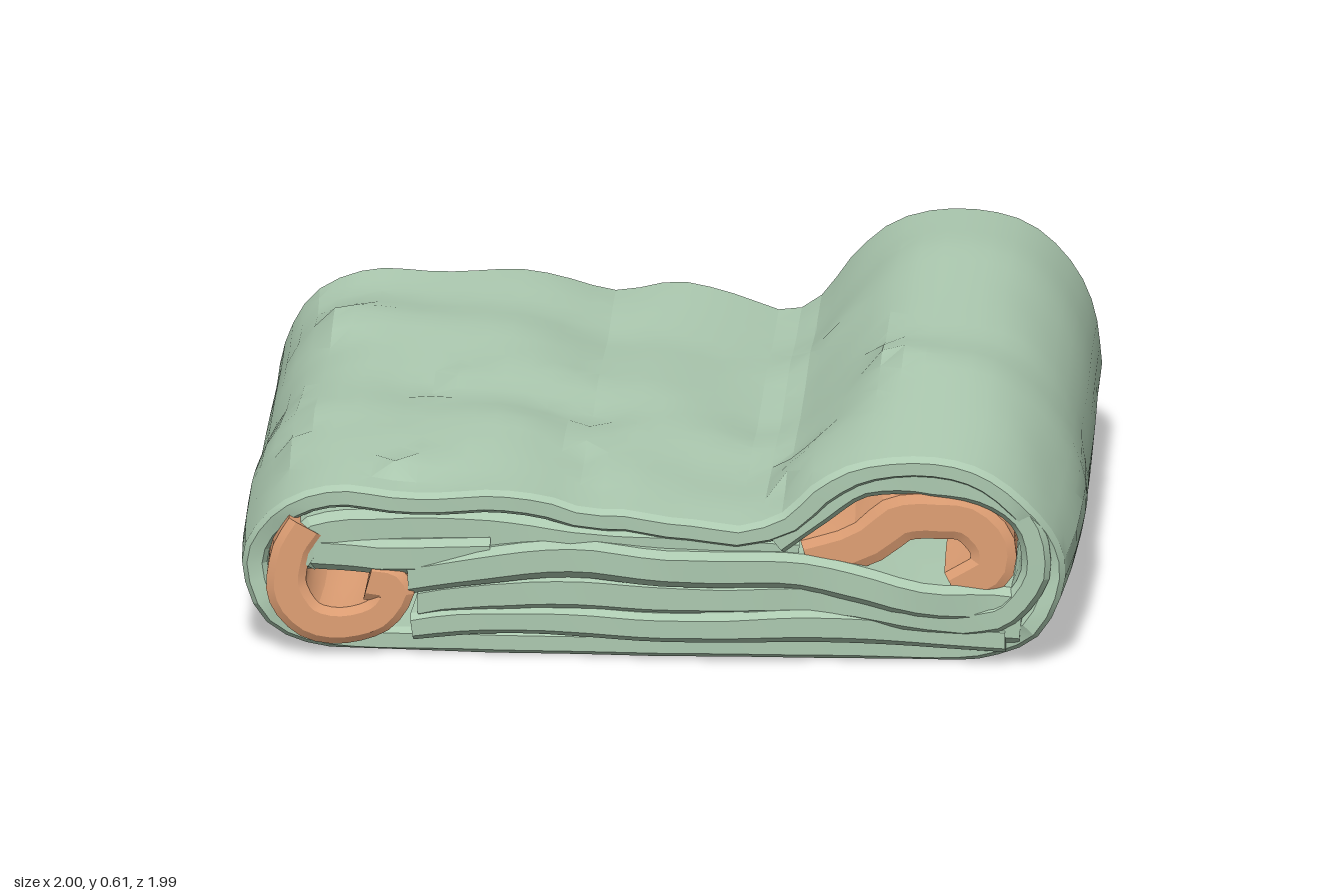
import * as THREE from 'three';
import { toCreasedNormals } from 'three/addons/utils/BufferGeometryUtils.js';

const { smoothstep, lerp, clamp } = THREE.MathUtils;

// Seeded lattice noise, linear between lattice points, -1..1
function hash(i, j, s) {
  const h = Math.sin(i * 127.1 + j * 311.7 + s * 74.7) * 43758.5453;
  return (h - Math.floor(h)) * 2 - 1;
}
function noise(x, z, s) {
  const i = Math.floor(x), j = Math.floor(z), u = x - i, v = z - j;
  return lerp(lerp(hash(i, j, s), hash(i + 1, j, s), u),
    lerp(hash(i, j + 1, s), hash(i + 1, j + 1, s), u), v);
}

// Piecewise linear lookup in [position, value] pairs
function lookup(table, p) {
  for (let i = 1; i < table.length; i++) {
    const [a, va] = table[i - 1], [b, vb] = table[i];
    if (p <= b) return lerp(va, vb, clamp((p - a) / (b - a), 0, 1));
  }
  return table[table.length - 1][1];
}
const rollHeight = [[-1, 0.59], [-0.6, 0.612], [-0.2, 0.588], [0.1, 0.572], [0.33, 0.592], [0.8, 0.535], [1, 0.51]];
const flatScale = [[-1, 0.97], [-0.5, 1], [0.3, 0.99], [1, 0.94]];
const frontEdge = [[-1, 0.88], [-0.9, 0.915], [-0.6, 0.95], [0, 0.97], [0.93, 0.97], [1, 0.93]];
const backEdge = [[-1, 0.88], [-0.93, 0.905], [-0.3, 0.925], [-0.1, 0.985], [0.9, 0.975], [1, 0.95]];
const foldEdge = [[-0.9, 0.945], [-0.3, 0.95], [0, 0.978], [0.9, 0.962]];

// The cover's rim draws in towards the ground and waves a little
function coverRim(table, seed) {
  return (x, y) => lookup(table, x) - 0.05 * (1 - smoothstep(y, 0, 0.1)) + 0.008 * noise(x * 5, y * 7, seed);
}

// Sharp one-sided creases in the top sheet: x, z start, z end, slant, height
const creases = [
  [-0.88, 0.2, 0.7, -0.1, 0.02], [-0.6, 0.62, 0.85, -0.2, 0.022], [-0.2, 0.2, 0.8, 0.05, 0.018],
  [0.28, 0.45, 0.95, 0.08, 0.025], [-0.52, -0.1, 0.2, -0.2, 0.022], [0.43, 0.05, 0.35, 0.3, 0.025],
  [-0.9, -0.6, -0.3, 0.1, 0.02],
];
function creaseHeight(x, z) {
  let h = 0;
  for (const [cx, z0, z1, slant, amp] of creases) {
    const t = (z - z0) / (z1 - z0), d = x - cx - slant * (z - z0);
    if (t > 0 && t < 1 && d > 0 && d < 0.16) h += amp * (1 - d / 0.16) * Math.min(1, 4 * t, 4 * (1 - t));
  }
  return h;
}

// Outer cover: roll height changes along z, top is rumpled, roll slope sags at mid depth
function shapeCover(x, y, z) {
  const top = smoothstep(y, 0.18, 0.36);
  const roll = smoothstep(x, 0.25, 0.6);
  const scale = lerp(lookup(flatScale, z), lookup(rollHeight, z) / 0.612, roll);
  const rumple = (0.024 * noise(x * 4 + 9 + z, z * 4 - 1.2 * x, 1) - 0.012) * (1 - roll) + creaseHeight(x, z);
  const sag = 0.04 * Math.exp(-(((x - 0.4) / 0.1) ** 2)) * (1 - z * z);
  const side = 0.012 * noise(z * 3, y * 7, 2) - 0.008 - (x > 0 ? 0.014 * z * z : 0);
  return [x + Math.sign(x) * side * smoothstep(Math.abs(x), 0.6, 0.9),
    y * lerp(1, scale, smoothstep(y, 0.05, 0.45)) + top * (rumple - sag)];
}
// Inner folds: uneven waviness
function shapeFold(x, y, z) {
  return [x + 0.012 * noise(z * 4, y * 9, 3), y + 0.016 * noise(x * 6, z * 4 + y * 5, 4) * smoothstep(y, 0.02, 0.12)];
}

// A thick cloth strip. Points run clockwise along its outer face, thickness goes inward.
// It reaches from z = -back to z = front; closed strips join their two ends.
function clothStrip(name, points, thickness, material, opts = {}) {
  const { samples = 26, rows = 14, shape = shapeFold, front = () => 0.96, back = () => 0.95, closed = false } = opts;
  const curve = new THREE.CatmullRomCurve3(points.map(([x, y]) => new THREE.Vector3(x, y, 0)), false, 'centripetal');
  const path = [];
  for (let i = 0; i <= samples; i++) {
    const p = curve.getPointAt(i / samples), d = curve.getTangentAt(i / samples);
    path.push([p.x, p.y, d.y, -d.x]);
  }
  const n = path.length, ring = 2 * n;
  // Rows across the depth, with tight rows at both ends for a soft rim
  const steps = [0, 0.01];
  for (let k = 1; k < rows; k++) steps.push(0.01 + 0.98 * k / rows);
  steps.push(0.99, 1);

  const pos = [], idx = [];
  for (const u of steps) {
    const rim = u === 0 || u === 1 ? 0.2 * thickness : 0;
    for (let j = 0; j < ring; j++) {
      const outer = j < n;
      const [px, py, nx, ny] = path[outer ? j : ring - 1 - j];
      const off = outer ? rim : thickness - rim;
      const z = lerp(-back(px, py), front(px, py), u);
      const [x, y] = shape(px + nx * off, py + ny * off, z);
      pos.push(x, Math.max(y, 0), z);
    }
  }
  for (let k = 0; k < steps.length - 1; k++) {
    for (let j = 0; j < ring; j++) {
      if (closed && (j + 1) % n === 0) continue;
      const a = k * ring + j, b = k * ring + (j + 1) % ring, c = a + ring, d = b + ring;
      if ((j + k) % 2) idx.push(a, c, b, b, c, d);
      else idx.push(a, c, d, a, d, b);
    }
  }
  // End caps
  const last = (steps.length - 1) * ring;
  for (let i = 0; i < n - 1; i++) {
    const o = i, p = i + 1, q = ring - 1 - i, r = ring - 2 - i;
    idx.push(last + o, last + q, last + r, last + o, last + r, last + p);
    idx.push(o, r, q, o, p, r);
  }
  const geo = new THREE.BufferGeometry();
  geo.setAttribute('position', new THREE.Float32BufferAttribute(pos, 3));
  geo.setIndex(idx);
  const mesh = new THREE.Mesh(toCreasedNormals(geo, 0.28), material);
  mesh.name = name;
  return mesh;
}

export function createModel() {
  const green = new THREE.MeshStandardMaterial({ color: 0xacc9b0 });
  green.name = 'sage green cloth';
  const orange = new THREE.MeshStandardMaterial({ color: 0xdf9f74 });
  orange.name = 'orange lining';

  const model = new THREE.Group();
  model.name = 'foldedBlanket';

  // Outer cover wrapped all the way round
  model.add(clothStrip('outerCover', [
    [0, 0], [-0.4, 0], [-0.85, 0.01], [-0.95, 0.07], [-0.998, 0.2], [-0.97, 0.32], [-0.9, 0.41], [-0.78, 0.455],
    [-0.6, 0.445], [-0.4, 0.45], [-0.3, 0.43], [-0.18, 0.395], [-0.05, 0.41], [0.1, 0.39], [0.22, 0.365],
    [0.3, 0.4], [0.38, 0.5], [0.48, 0.58], [0.62, 0.612], [0.8, 0.58], [0.92, 0.48], [0.985, 0.35],
    [0.998, 0.2], [0.94, 0.07], [0.82, 0.01], [0.4, 0], [0, 0],
  ], 0.06, green, {
    samples: 84, rows: 24, shape: shapeCover, closed: true,
    front: coverRim(frontEdge, 7), back: coverRim(backEdge, 8),
  }));

  // Stacked folds between the two rolls, with uneven ends
  const wavy = (shift, seed) => (x) => lookup(foldEdge, x) + shift + 0.014 * noise(x * 5, seed, 5);
  const folds = [
    ['upperFold', [[-0.9, 0.26], [-0.86, 0.32], [-0.75, 0.36], [-0.4, 0.36], [-0.15, 0.325], [0.1, 0.325], [0.34, 0.3]], 0.1, -0.015],
    ['leftFold', [[-0.85, 0.29], [-0.72, 0.3], [-0.55, 0.3], [-0.4, 0.3]], 0.085, -0.01],
    ['middleFold', [[-0.6, 0.25], [-0.3, 0.29], [0, 0.28], [0.3, 0.265], [0.55, 0.22], [0.86, 0.19]], 0.09, 0.005],
    ['lowerFold', [[-0.57, 0.18], [-0.3, 0.21], [0, 0.2], [0.35, 0.19], [0.65, 0.165], [0.88, 0.14]], 0.09, -0.005],
    ['bottomFold', [[-0.58, 0.11], [-0.3, 0.13], [0, 0.12], [0.4, 0.12], [0.84, 0.1]], 0.07, 0],
    ['rollFold', [[0.26, 0.32], [0.36, 0.395], [0.46, 0.46], [0.62, 0.49], [0.8, 0.465], [0.91, 0.37], [0.935, 0.22], [0.86, 0.1], [0.74, 0.07]], 0.07, -0.008],
  ];
  folds.forEach(([name, pts, t, shift], i) => model.add(clothStrip(name, pts, t, green, {
    front: wavy(shift, i), back: wavy(shift, i + 20),
  })));

  // Curled lining in the left roll: orange at the front, green inner curl towards the back
  model.add(clothStrip('leftLining', [
    [-0.68, 0.245], [-0.62, 0.235], [-0.575, 0.17], [-0.62, 0.08], [-0.74, 0.03],
    [-0.85, 0.05], [-0.925, 0.15], [-0.92, 0.27], [-0.88, 0.34],
  ], 0.095, orange, { samples: 22, front: () => 0.95, back: () => 0.2 }));
  model.add(clothStrip('leftLiningBack', [
    [-0.85, 0.05], [-0.925, 0.15], [-0.92, 0.27], [-0.88, 0.34],
  ], 0.04, orange, { samples: 10, front: () => -0.2, back: () => 0.94 }));
  model.add(clothStrip('leftCurlBack', [
    [-0.68, 0.245], [-0.62, 0.235], [-0.575, 0.17], [-0.62, 0.08], [-0.74, 0.03], [-0.83, 0.06], [-0.885, 0.15], [-0.87, 0.27],
  ], 0.08, green, { samples: 20, front: () => -0.2, back: () => 0.935 }));

  // Curled lining in the right roll: orange at the front, green behind
  const curl = [[0.34, 0.29], [0.46, 0.33], [0.55, 0.405], [0.66, 0.43], [0.77, 0.41], [0.85, 0.31], [0.84, 0.2], [0.74, 0.14]];
  model.add(clothStrip('rightLining', curl, 0.11, orange, { samples: 18, front: () => 0.95, back: () => 0 }));
  model.add(clothStrip('rightCurlBack', curl, 0.11, green, { samples: 18, front: () => 0, back: () => 0.94 }));
  model.add(clothStrip('rightLiningBack', [[0.7, 0.235], [0.77, 0.245], [0.84, 0.22]], 0.06, orange,
    { samples: 6, front: () => -0.5, back: () => 0.95 }));

  return model;
}
